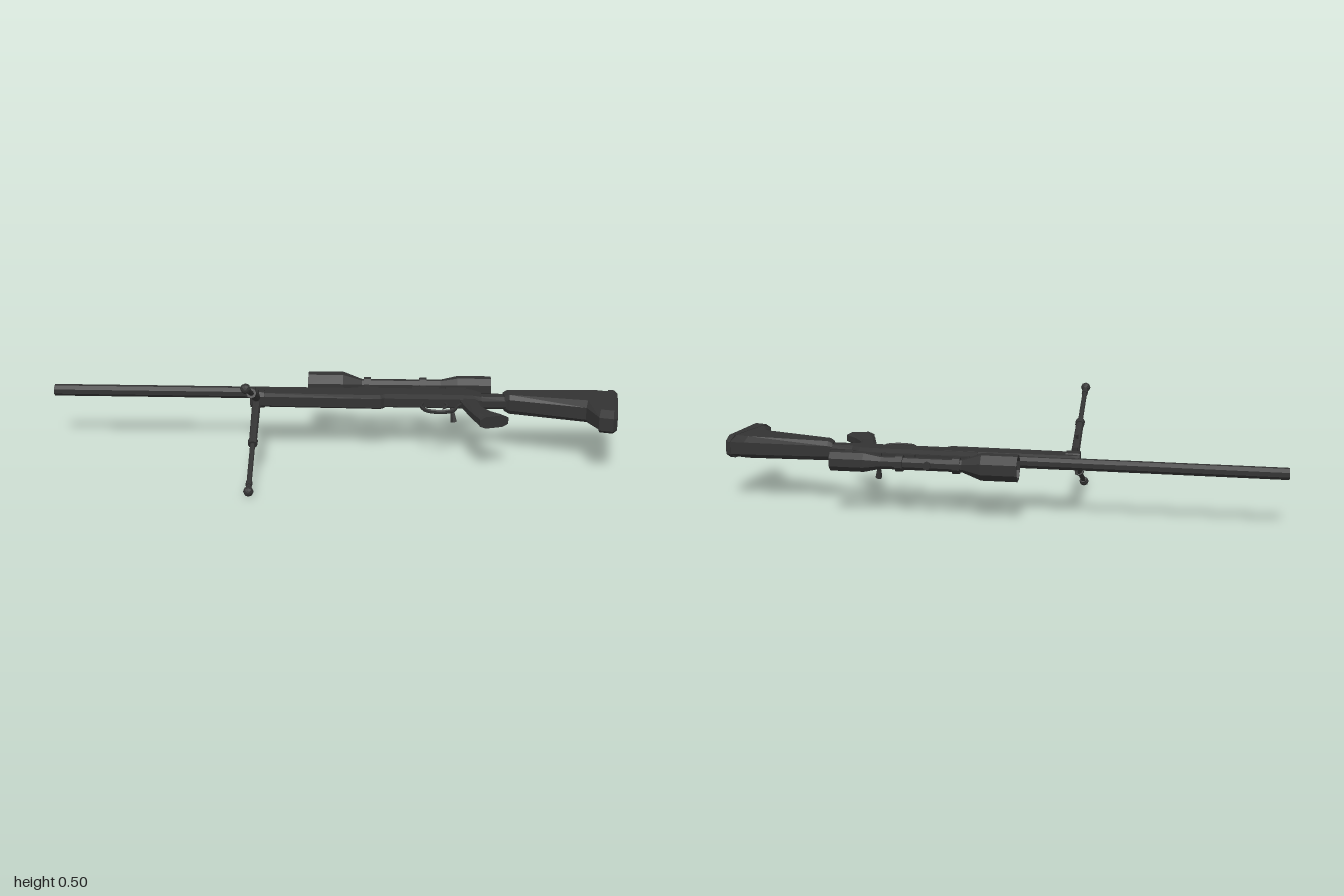
import * as THREE from 'three';

const mat = new THREE.MeshStandardMaterial({ color: 0x333333, flatShading: true });
const V = (x, y, z = 0) => new THREE.Vector3(x, y, z);

function add(parent, name, geometry) {
  const m = new THREE.Mesh(geometry, mat);
  m.name = name;
  parent.add(m);
  return m;
}

// Tapered rod between two points
function rod(parent, name, p, q, r1, r2 = r1, sides = 8) {
  const d = q.clone().sub(p);
  const m = add(parent, name, new THREE.CylinderGeometry(r2, r1, d.length(), sides));
  m.position.copy(p).add(q).multiplyScalar(0.5);
  m.quaternion.setFromUnitVectors(V(0, 1, 0), d.normalize());
  return m;
}

function box(parent, name, x0, x1, y0, y1, halfZ) {
  const m = add(parent, name, new THREE.BoxGeometry(x1 - x0, y1 - y0, halfZ * 2));
  m.position.set((x0 + x1) / 2, (y0 + y1) / 2, 0);
  return m;
}

// Loft of chamfered sections: [topX, topY, bottomX, bottomY, halfWidth]
function loft(parent, name, sections, c = 0.2, a = 0.55) {
  const ring = [[0, a], [c, 1], [1 - c, 1], [1, a], [1, -a], [1 - c, -1], [c, -1], [0, -a]];
  const pos = [], idx = [], n = ring.length;
  for (const [tx, ty, bx, by, w] of sections)
    for (const [f, z] of ring) pos.push(tx + (bx - tx) * f, ty + (by - ty) * f, z * w);
  const last = (sections.length - 1) * n;
  for (let j = 0; j < last; j += n)
    for (let i = 0; i < n; i++) {
      const k = (i + 1) % n;
      idx.push(j + i, j + k, j + n + k, j + i, j + n + k, j + n + i);
    }
  for (let i = 1; i < n - 1; i++) idx.push(0, i + 1, i, last, last + i, last + i + 1);
  const g = new THREE.BufferGeometry();
  g.setAttribute('position', new THREE.Float32BufferAttribute(pos, 3));
  g.setIndex(idx);
  const flat = g.toNonIndexed();
  flat.computeVertexNormals();
  return add(parent, name, flat);
}

// Lathe around the lengthwise axis, profile as [x, radius]
function turned(parent, name, y, profile, sides = 8) {
  const g = new THREE.LatheGeometry(profile.map(([x, r]) => new THREE.Vector2(r, x)), sides, Math.PI / sides);
  g.rotateZ(-Math.PI / 2);
  const m = add(parent, name, g);
  m.position.y = y;
  return m;
}

export function createModel() {
  // Built upright: x runs to the butt, y is up; laid on its side at the end
  const gun = new THREE.Group();
  gun.name = 'rifle';

  // Barrel with a shallow bore
  const barrel = turned(gun, 'barrel', 0.085, [
    [-1.27, 0], [-1.27, 0.015], [-1.298, 0.015], [-1.298, 0.026], [0.1, 0.026], [0.1, 0]]);
  barrel.rotation.z = -0.01;

  // Fore-end, receiver and neck
  loft(gun, 'foreEnd', [
    [-0.41, 0.075, -0.41, -0.014, 0.03], [-0.37, 0.088, -0.37, -0.019, 0.032],
    [0.16, 0.088, 0.16, -0.035, 0.032], [0.178, 0.088, 0.178, -0.02, 0.032]], 0.15, 0.65);
  loft(gun, 'receiver', [
    [0.03, 0.106, 0.03, -0.02, 0.031], [0.5, 0.1, 0.5, -0.026, 0.031],
    [0.56, 0.095, 0.56, -0.032, 0.031], [0.6, 0.062, 0.6, -0.035, 0.028]], 0.2, 0.6);
  loft(gun, 'neck', [
    [0.57, 0.055, 0.57, -0.033, 0.028], [0.72, 0.045, 0.72, -0.033, 0.028]], 0.25, 0.5);
  rod(gun, 'cockingPiece', V(0.54, 0.06), V(0.63, 0.058), 0.022, 0.016);

  // Shoulder stock and butt pad
  loft(gun, 'stock', [
    [0.695, 0.042, 0.7, -0.028, 0.034], [0.715, 0.05, 0.72, -0.041, 0.044],
    [1.1, 0.06, 1.04, -0.132, 0.05], [1.17, 0.062, 1.08, -0.25, 0.05]], 0.16);
  loft(gun, 'buttPad', [
    [1.165, 0.064, 1.077, -0.25, 0.052], [1.185, 0.06, 1.135, -0.265, 0.052],
    [1.196, 0.03, 1.155, -0.245, 0.044]], 0.12);

  // Pistol grip
  loft(gun, 'pistolGrip', [
    [0.588, -0.02, 0.505, -0.02, 0.022], [0.605, -0.115, 0.538, -0.13, 0.022],
    [0.645, -0.17, 0.557, -0.19, 0.024], [0.692, -0.208, 0.575, -0.235, 0.026],
    [0.7, -0.22, 0.579, -0.257, 0.026]]);

  // Trigger guard and trigger
  const guard = new THREE.CatmullRomCurve3([
    V(0.345, -0.015), V(0.337, -0.07), V(0.36, -0.113), V(0.425, -0.128),
    V(0.475, -0.108), V(0.49, -0.07), V(0.515, -0.03)]);
  add(gun, 'triggerGuard', new THREE.TubeGeometry(guard, 24, 0.006, 6)).scale.z = 1.6;
  const trigger = new THREE.CatmullRomCurve3([
    V(0.44, -0.015), V(0.45, -0.05), V(0.44, -0.075), V(0.425, -0.09)]);
  add(gun, 'trigger', new THREE.TubeGeometry(trigger, 8, 0.006, 6));

  // Bolt handle on the right side
  rod(gun, 'boltHandle', V(0.47, 0.07, -0.02), V(0.482, 0.045, -0.085), 0.009, 0.009, 6);
  rod(gun, 'boltKnob', V(0.48, 0.048, -0.075), V(0.485, 0.038, -0.112), 0.01, 0.015, 6);

  // Scope rail with cross ribs
  box(gun, 'rail', 0.05, 0.55, 0.098, 0.112, 0.018);
  for (const [x0, x1] of [[0.06, 0.15], [0.3, 0.42], [0.45, 0.54]])
    box(gun, 'railBlock', x0, x1, 0.105, 0.125, 0.02);

  // Scope: hollow ends, objective, tube and eyepiece
  turned(gun, 'scope', 0.198, [
    [-0.15, 0], [-0.15, 0.05], [-0.166, 0.052], [-0.166, 0.06], [-0.01, 0.06],
    [0.075, 0.028], [0.43, 0.028], [0.505, 0.045], [0.655, 0.045],
    [0.655, 0.038], [0.64, 0.036], [0.64, 0]]);
  rod(gun, 'elevationKnob', V(0.225, 0.2), V(0.225, 0.235), 0.018);
  for (const x of [0.1, 0.35]) {
    turned(gun, 'scopeRing', 0.198, [
      [x - 0.016, 0.026], [x - 0.016, 0.036], [x + 0.016, 0.036], [x + 0.016, 0.026]]);
    box(gun, 'scopeMount', x - 0.012, x + 0.012, 0.1, 0.175, 0.012);
  }

  // Bipod: clamp, two telescoping legs, feet
  const bipod = new THREE.Group();
  bipod.name = 'bipod';
  gun.add(bipod);
  loft(bipod, 'clamp', [
    [-0.412, 0.06, -0.412, -0.016, 0.036], [-0.35, 0.06, -0.35, -0.022, 0.036]]);
  rod(bipod, 'hingePin', V(-0.385, -0.01, -0.05), V(-0.385, -0.01, 0.05), 0.013);
  for (const s of [-1, 1]) {
    const top = V(-0.385, -0.005, s * 0.012), foot = V(-0.382, -0.474, s * 0.226);
    const at = t => top.clone().lerp(foot, t);
    rod(bipod, 'upperLeg', top, at(0.46), 0.019, 0.017);
    rod(bipod, 'legCollar', at(0.44), at(0.49), 0.021);
    rod(bipod, 'lowerLeg', at(0.45), foot, 0.011);
    rod(bipod, 'legLatch', at(0.2).add(V(0, 0, s * 0.01)), at(0.2).add(V(0, 0.012, s * 0.036)), 0.007, 0.007, 6);
    rod(bipod, 'footCollar', at(0.9), at(0.94), 0.014);
    add(bipod, 'foot', new THREE.SphereGeometry(0.022, 8, 6)).position.copy(foot);
  }

  // Lay the rifle on its side, diagonal to the axes
  const h = Math.SQRT1_2;
  const basis = new THREE.Matrix4().makeBasis(V(h, 0, -h), V(-h, 0, -h), V(0, 1, 0));
  gun.quaternion.setFromRotationMatrix(basis);
  gun.position.y = 0.248;

  const model = new THREE.Group();
  model.add(gun);
  return model;
}
